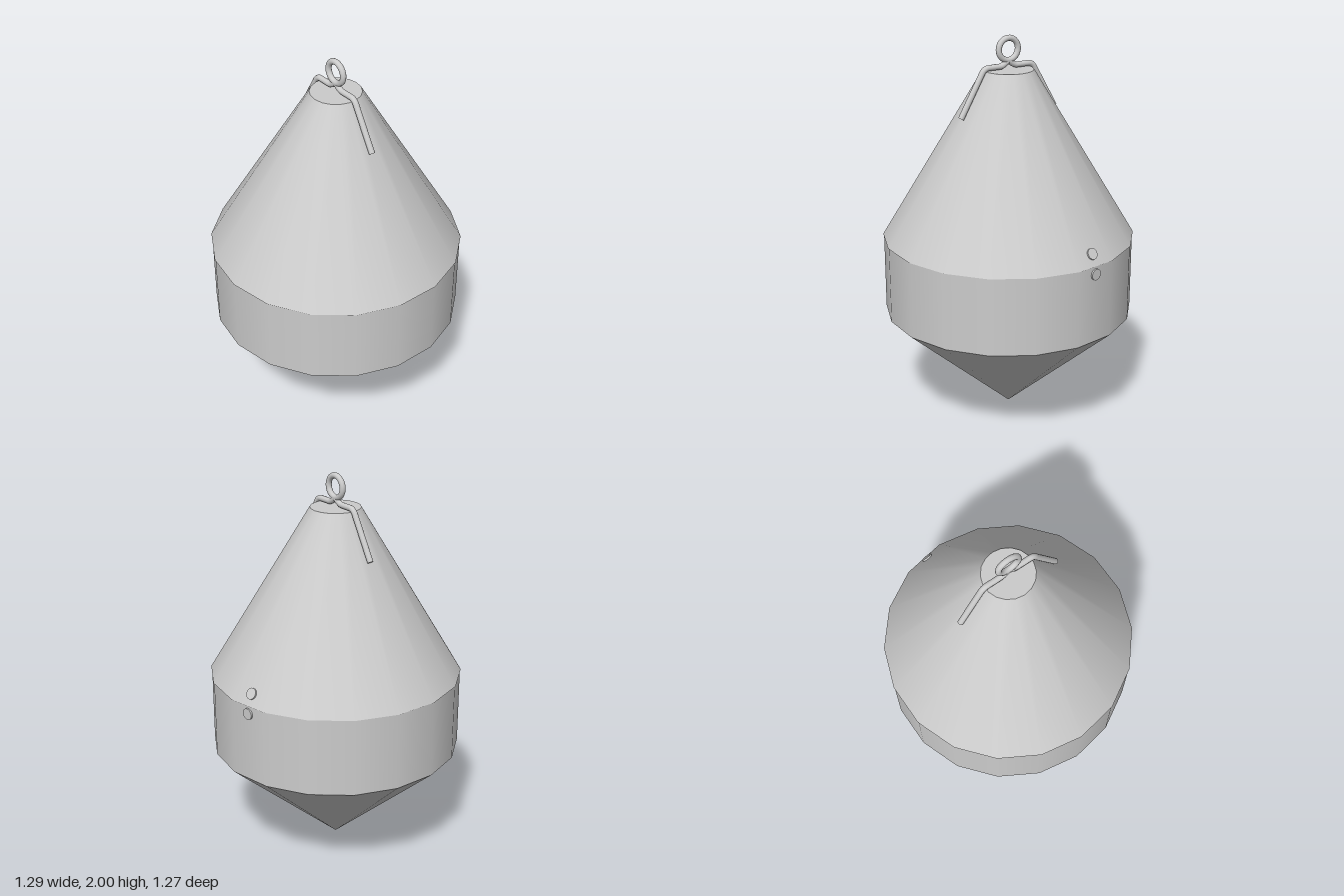
import * as THREE from 'three';

const SIDES = 18;
const ROD = 0.015;

export function createModel() {
  const model = new THREE.Group();
  const material = new THREE.MeshStandardMaterial({ color: 0xcccccc });

  function add(name, geometry, parent = model) {
    const mesh = new THREE.Mesh(geometry, material);
    mesh.name = name;
    parent.add(mesh);
    return mesh;
  }

  // Hull: three stacked sections, each with a corner on the x axis
  function section(name, rTop, rBottom, y0, y1, open) {
    const g = new THREE.CylinderGeometry(rTop, rBottom, y1 - y0, SIDES, 1, open, Math.PI / 2);
    add(name, g.translate(0, (y0 + y1) / 2, 0));
  }
  section('lowerCone', 0.642, 0, 0, 0.57, true);
  section('hullBand', 0.642, 0.642, 0.57, 0.97, true);
  section('upperCone', 0.128, 0.646, 0.97, 1.83, false);

  // Lifting eye on top
  add('liftingRing', new THREE.TorusGeometry(0.055, ROD, 12, 36).rotateY(Math.PI / 2).translate(0, 1.93, 0));

  // Bent rods from the ring, over the rim and down the cone
  const v = (y, z) => new THREE.Vector3(0, y, z);
  for (const s of [1, -1]) {
    const end = v(1.612, s * 0.272);
    const path = new THREE.CurvePath();
    path.add(new THREE.LineCurve3(end, v(1.825, s * 0.15)));
    path.add(new THREE.QuadraticBezierCurve3(v(1.825, s * 0.15), v(1.847, s * 0.137), v(1.847, s * 0.115)));
    path.add(new THREE.LineCurve3(v(1.847, s * 0.115), v(1.847, s * 0.05)));
    path.add(new THREE.QuadraticBezierCurve3(v(1.847, s * 0.05), v(1.847, s * 0.03), v(1.875, 0)));
    const leg = new THREE.Group();
    leg.name = s > 0 ? 'frontRod' : 'backRod';
    model.add(leg);
    add('rod', new THREE.TubeGeometry(path, 48, ROD, 12), leg);
    const cap = add('rodEnd', new THREE.CircleGeometry(ROD, 12), leg);
    cap.position.copy(end);
    cap.lookAt(end.clone().sub(path.getTangent(0)));
  }

  // Two small plugs centred on the facet beside the +x corner
  const plugs = new THREE.Group();
  plugs.name = 'plugs';
  plugs.rotation.y = Math.PI / SIDES;
  model.add(plugs);
  function plug(name, x, y, tilt) {
    const mesh = add(name, new THREE.CylinderGeometry(0.029, 0.029, 0.02, 20), plugs);
    mesh.position.set(x, y, 0);
    mesh.rotation.z = tilt - Math.PI / 2;
  }
  plug('bandPlug', 0.631, 0.928, 0);
  plug('conePlug', 0.603, 1.023, Math.atan2(0.51, 0.86));

  return model;
}
